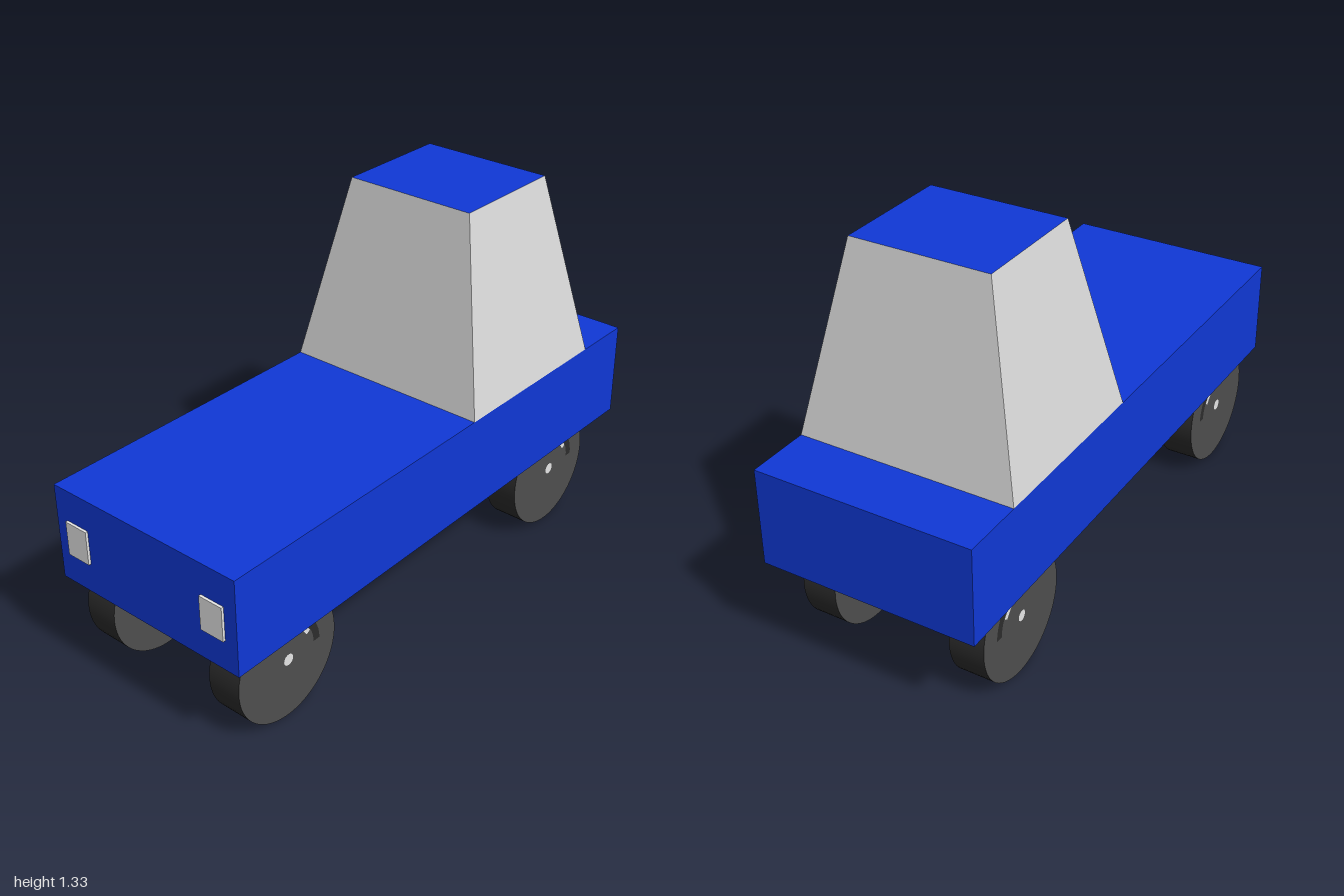
import * as THREE from 'three';

const flat = (name, color) => {
  const m = new THREE.MeshStandardMaterial({ color });
  m.name = name;
  return m;
};

export function createModel() {
  const blue = flat('body blue', 0x1038d6);
  const glass = flat('cab grey', 0xd8d8d8);
  const rubber = flat('tread black', 0x2c2c2c);
  const wall = flat('wheel grey', 0x4e4e4e);
  const lamp = flat('lamp white', 0xe8e8e8);

  const truck = new THREE.Group();
  truck.name = 'truck';
  const add = (parent, name, geometry, material, x, y, z) => {
    const mesh = new THREE.Mesh(geometry, material);
    mesh.name = name;
    mesh.position.set(x, y, z);
    parent.add(mesh);
    return mesh;
  };

  // Flat slab body
  add(truck, 'body', new THREE.BoxGeometry(1.99, 0.34, 0.756), blue, 0.005, 0.516, 0);

  // Cab: a box narrowed towards the roof, with only the roof in blue
  const cab = new THREE.BoxGeometry(0.66, 0.65, 0.756);
  const p = cab.attributes.position;
  for (let i = 0; i < p.count; i++) {
    if (p.getY(i) > 0) {
      p.setX(i, Math.sign(p.getX(i)) * 0.21);
      p.setZ(i, Math.sign(p.getZ(i)) * 0.24);
    }
  }
  cab.computeVertexNormals();
  add(truck, 'cab', cab, [glass, glass, blue, glass, glass, glass], 0.45, 1.011, 0);

  // Lamps on the -x end
  for (const z of [-0.285, 0.285]) {
    add(truck, 'lamp', new THREE.BoxGeometry(0.009, 0.12, 0.09), lamp, -0.9945, 0.515, z);
  }

  // Wheels: dark tread, grey walls, a small hub dot and worn arcs on each wall
  const R = 0.214, W = 0.122;
  const tyre = new THREE.CylinderGeometry(R, R, W, 64).rotateX(Math.PI / 2);
  const hub = new THREE.CircleGeometry(0.02, 20);
  const arc = (r0, r1, from, sweep) =>
    new THREE.RingGeometry(r0, r1, 20, 1, from, sweep);
  const makeWheel = (x, z) => {
    const wheel = new THREE.Group();
    wheel.name = 'wheel';
    wheel.position.set(x, R + 0.002, z);
    add(wheel, 'tyre', tyre, [rubber, wall, wall], 0, 0, 0);
    for (const s of [1, -1]) {
      const side = new THREE.Group();
      side.name = 'wheelFace';
      if (s < 0) side.rotation.y = Math.PI;
      // The arcs stay towards +x on both faces
      const start = (a, sweep) => (s > 0 ? a : Math.PI - a - sweep);
      add(side, 'hub', hub, lamp, 0, 0, W / 2 + 0.002);
      add(side, 'darkArc', arc(0.115, 0.142, start(0, 2.4), 2.4), rubber, 0, 0, W / 2 + 0.001);
      add(side, 'lightArc', arc(0.095, 0.112, start(0.5, 0.6), 0.6), lamp, 0, 0, W / 2 + 0.0015);
      wheel.add(side);
    }
    truck.add(wheel);
  };
  for (const x of [-0.727, 0.682]) {
    for (const z of [0.261, -0.28]) makeWheel(x, z);
  }

  return truck;
}
